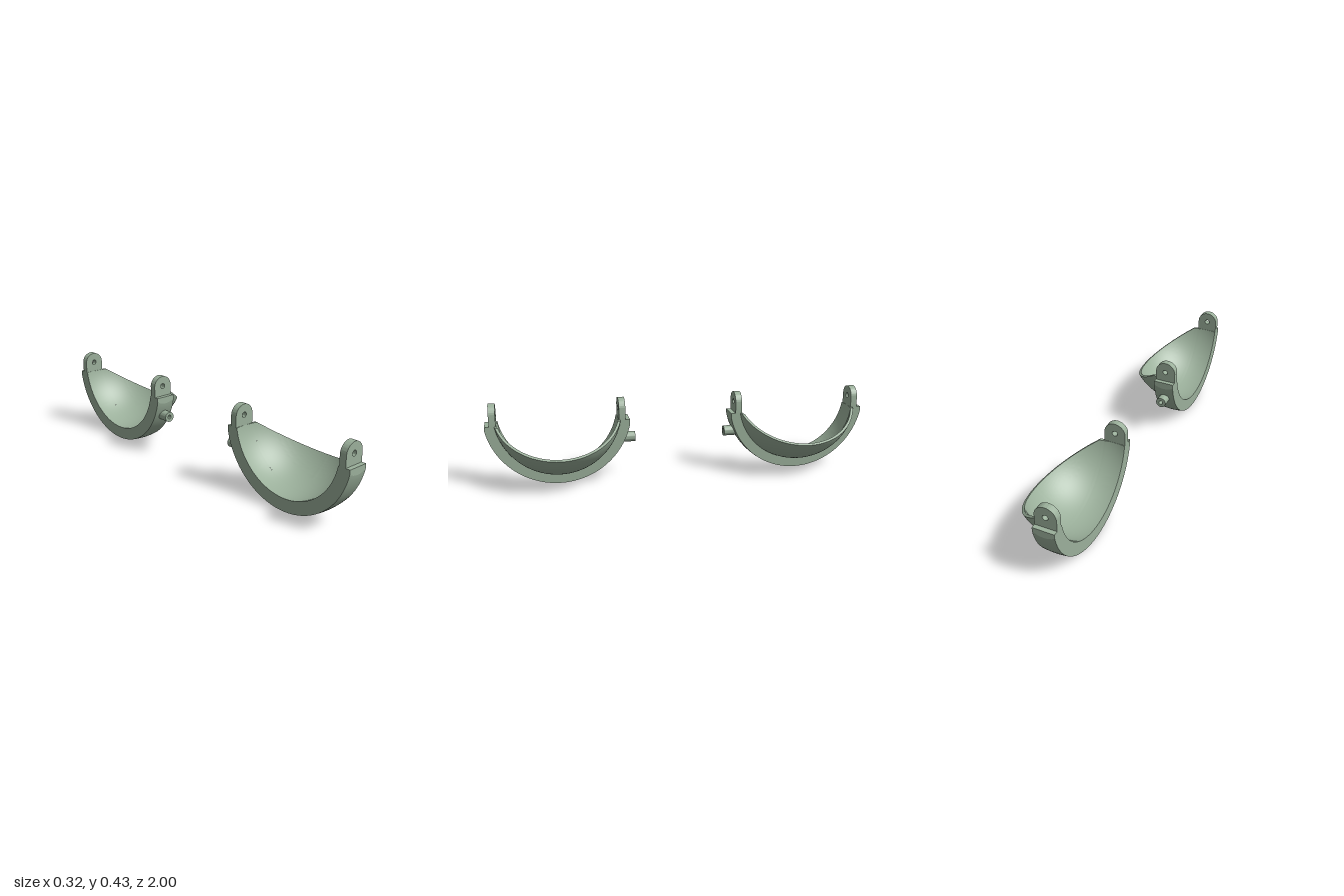
import * as THREE from 'three';
import { toCreasedNormals } from 'three/addons/utils/BufferGeometryUtils.js';

const R_BAND = 0.3765, R_BOWL = 0.3255, R_IN = 0.312; // concentric spheres
const HALF = 0.0535;    // half width of the band
const FLAT = 0.365;     // flat cut on both sides of the band
const SLOPE = 0.70;     // rim plane, falling from the sphere centre
const CX = -0.107, CY = 0.3765, CZ = 0.635;

const material = new THREE.MeshStandardMaterial({ color: 0x9bb09b });

// Skins a row of closed loops, optionally capping both ends.
function loft(loops, caps) {
  const n = loops[0].length, last = (loops.length - 1) * n, index = [];
  const quad = (a, b, c, d) => index.push(a, b, c, a, c, d);
  for (let i = 0; i < loops.length - 1; i++) {
    for (let j = 0; j < n; j++) {
      const k = (j + 1) % n;
      quad(i * n + j, i * n + k, (i + 1) * n + k, (i + 1) * n + j);
    }
  }
  if (caps) {
    for (let j = 0; j < n / 2 - 1; j++) {
      quad(last + j, last + j + 1, last + n - 2 - j, last + n - 1 - j);
      quad(n - 1 - j, n - 2 - j, j + 1, j);
    }
  }
  const geo = new THREE.BufferGeometry();
  geo.setAttribute('position', new THREE.Float32BufferAttribute(loops.flat(2), 3));
  geo.setIndex(index);
  return toCreasedNormals(geo, 0.2);
}

// Half-ring with spherical faces and flat sides near its ends
function bandGeometry() {
  const steps = 80, across = 8, bend = 0.92, loops = [];
  for (let i = 0; i <= steps; i++) {
    const t = (i / steps) * 2 - 1, s = Math.sign(t), a = Math.abs(t);
    const outer = [], inner = [];
    for (let j = 0; j <= across; j++) {
      const x = -HALF + (2 * HALF * j) / across;
      const ro = Math.sqrt(R_BAND ** 2 - x * x), ri = Math.sqrt(R_IN ** 2 - x * x);
      if (a <= bend) {
        const phi = (t / bend) * Math.asin(FLAT / ro);
        outer.push([x, -ro * Math.cos(phi), ro * Math.sin(phi)]);
      } else {
        const y = THREE.MathUtils.lerp(-Math.sqrt(ro * ro - FLAT * FLAT), -HALF, (a - bend) / (1 - bend));
        outer.push([x, y, s * FLAT]);
      }
      const phi = t * Math.acos(HALF / ri);
      inner.unshift([x, -ri * Math.cos(phi), ri * Math.sin(phi)]);
    }
    loops.push([...outer, ...inner]);
  }
  return loft(loops, true);
}

// Spherical shell between the band and the sloping rim
function bowlGeometry() {
  const steps = 36, around = 64, corner = HALF / SLOPE;
  const arc = (r, i) => {
    const tip = r / Math.hypot(1, SLOPE);
    const x = i < 3
      ? THREE.MathUtils.lerp(HALF, corner, i / 3)
      : tip - (tip - corner) * (1 - (i - 3) / (steps - 3)) ** 2;
    const rho = Math.sqrt(r * r - x * x);
    const end = Math.acos(Math.min(1, Math.max(HALF, SLOPE * x) / rho));
    return Array.from({ length: around + 1 }, (_, j) => {
      const phi = end * (1 - (2 * j) / around);
      return [x, -rho * Math.cos(phi), rho * Math.sin(phi)];
    });
  };
  const loops = [];
  for (let i = 0; i <= steps; i++) loops.push([...arc(R_BOWL, i), ...arc(R_IN, i).reverse()]);
  return loft(loops, false);
}

// Round-topped lug with a pivot hole at the sphere centre
function earGeometry() {
  const shape = new THREE.Shape();
  shape.moveTo(-HALF, -HALF);
  shape.lineTo(HALF, -HALF);
  shape.lineTo(HALF, 0);
  shape.absarc(0, 0, HALF, 0, Math.PI, false);
  shape.closePath();
  const hole = new THREE.Path();
  hole.absarc(0, 0, 0.0135, 0, Math.PI * 2, true);
  shape.holes.push(hole);
  const geo = new THREE.ExtrudeGeometry(shape, { depth: 0.034, bevelEnabled: false, curveSegments: 32 });
  geo.translate(0, 0, -0.017);
  return toCreasedNormals(geo, 0.5);
}

// Short stub with a blind bore, along +z
function pinGeometry() {
  const profile = [[0.027, 0], [0.027, 0.075], [0.011, 0.075], [0.011, 0.025], [0, 0.025]];
  const geo = new THREE.LatheGeometry(profile.map(([x, y]) => new THREE.Vector2(x, y)), 32);
  geo.rotateX(Math.PI / 2);
  return toCreasedNormals(geo, 0.5);
}

export function createModel() {
  const model = new THREE.Group();
  model.name = 'bowlPair';
  const band = bandGeometry(), bowl = bowlGeometry(), ear = earGeometry(), pin = pinGeometry();

  for (const side of [1, -1]) {
    const cup = new THREE.Group();
    cup.name = side > 0 ? 'frontCup' : 'backCup';
    cup.position.set(CX, CY, side * CZ);
    const add = (geo, name) => {
      const mesh = new THREE.Mesh(geo, material);
      mesh.name = name;
      cup.add(mesh);
      return mesh;
    };
    add(band, 'band');
    add(bowl, 'bowl');
    for (const s of [1, -1]) add(ear, s === side ? 'outerEar' : 'innerEar').position.z = s * 0.325;
    // The pin points toward the other cup
    const stub = add(pin, 'pin');
    stub.position.set(0, -0.16, -side * 0.32);
    if (side > 0) stub.rotation.y = Math.PI;
    model.add(cup);
  }
  return model;
}
